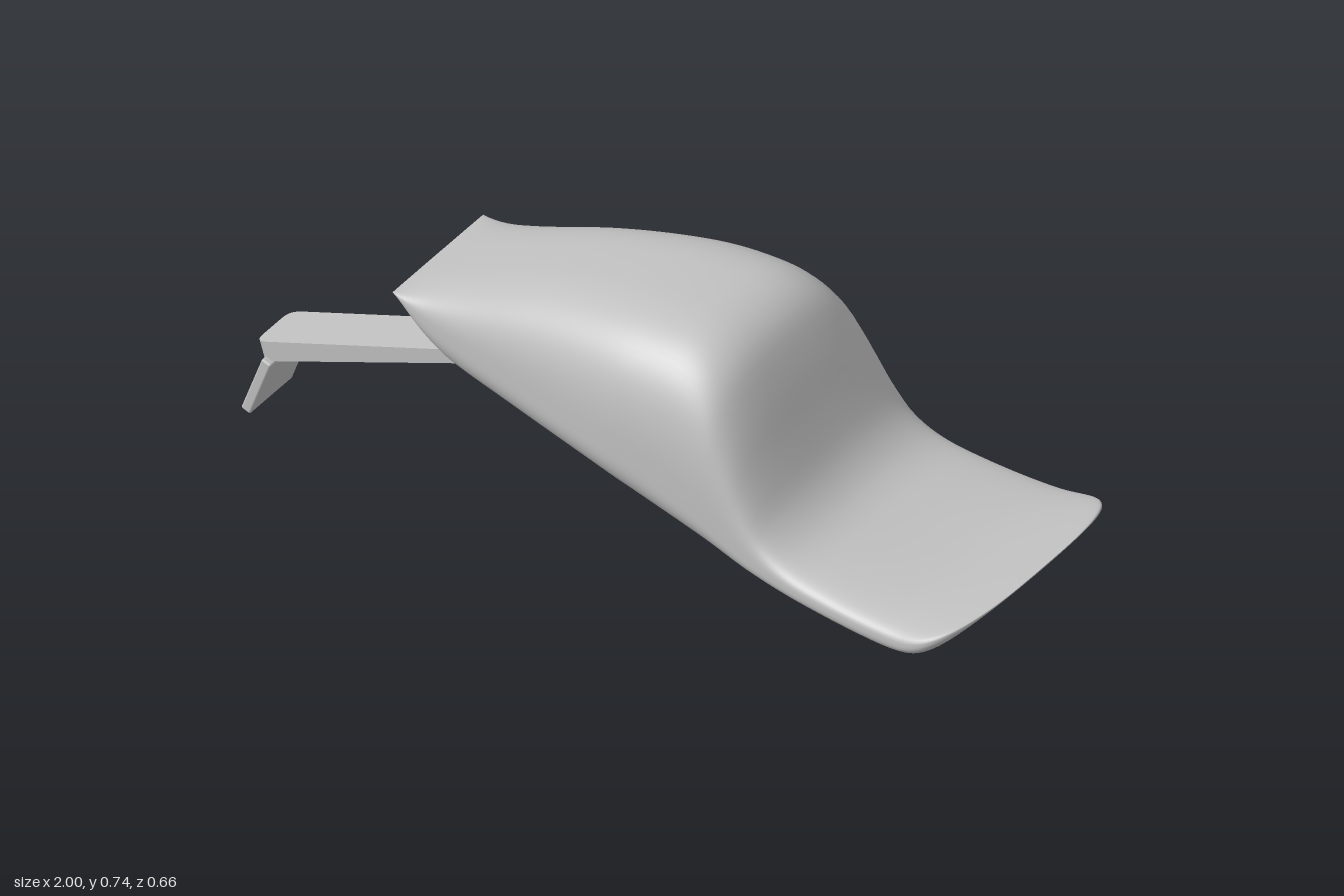
import * as THREE from 'three';
import { RoundedBoxGeometry } from 'three/addons/geometries/RoundedBoxGeometry.js';

const grey = new THREE.MeshStandardMaterial({ color: 0xc0c0c0 });
grey.name = 'plain grey';

// Smooth curve through [x, value] points
function curve(pts) {
  const slope = (i) => {
    const a = pts[Math.max(i - 1, 0)], b = pts[Math.min(i + 1, pts.length - 1)];
    return (b[1] - a[1]) / (b[0] - a[0]);
  };
  return (x) => {
    let i = 0;
    while (i < pts.length - 2 && x > pts[i + 1][0]) i++;
    const [x0, y0] = pts[i], [x1, y1] = pts[i + 1];
    const h = x1 - x0, t = (x - x0) / h, t2 = t * t, t3 = t2 * t;
    return y0 * (2 * t3 - 3 * t2 + 1) + slope(i) * h * (t3 - 2 * t2 + t)
      + y1 * (3 * t2 - 2 * t3) + slope(i + 1) * h * (t3 - t2);
  };
}

// Body profiles along x: ridge, belly, widest line and half width
const top = curve([[-0.55, 0.542], [-0.4, 0.6], [-0.2, 0.675], [0, 0.722], [0.15, 0.738], [0.25, 0.73],
  [0.32, 0.688], [0.37, 0.605], [0.42, 0.495], [0.47, 0.405], [0.54, 0.35], [0.65, 0.326], [0.8, 0.316], [0.9, 0.323], [1, 0.34]]);
const belly = curve([[-0.55, 0.54], [-0.5, 0.46], [-0.45, 0.41], [-0.4, 0.38], [-0.25, 0.35], [0, 0.308],
  [0.2, 0.268], [0.5, 0.228], [0.75, 0.206], [0.83, 0.207], [0.9, 0.232], [1, 0.337]]);
const waist = curve([[-0.55, 0.541], [-0.45, 0.5], [-0.2, 0.465], [0.1, 0.43], [0.3, 0.37], [0.45, 0.31],
  [0.6, 0.28], [0.82, 0.266], [0.9, 0.282], [1, 0.339]]);
const side = curve([[-0.55, 0.172], [-0.2, 0.235], [0, 0.273], [0.1, 0.287], [0.4, 0.305], [0.85, 0.33], [1, 0.335]]);
const halfWidth = (x) => {
  const s = Math.max(0, (x - 0.85) / 0.15);
  return side(x) * Math.cbrt(Math.max(0, 1 - s ** 3));
};

function bodyGeometry() {
  const rows = 120, cols = 80, pos = [], index = [];
  for (let i = 0; i <= rows; i++) {
    // stations crowd together towards the rounded lip
    const u = i / rows;
    const x = u < 0.75 ? -0.55 + 1.4 * u / 0.75 : 0.85 + 0.15 * Math.sin((u - 0.75) * 2 * Math.PI);
    const w = halfWidth(x), mid = waist(x);
    for (let j = 0; j < cols; j++) {
      const a = j / cols * Math.PI * 2, c = Math.cos(a), s = Math.sin(a);
      const p = 2 / (s > 0 ? 3.1 : 2.4);
      const height = s > 0 ? top(x) - mid : mid - belly(x);
      pos.push(x, mid + Math.sign(s) * Math.abs(s) ** p * height, Math.sign(c) * Math.abs(c) ** p * w);
      if (i < rows) {
        const k = (j + 1) % cols, r = i * cols, n = r + cols;
        index.push(r + j, n + j, r + k, n + j, n + k, r + k);
      }
    }
  }
  const g = new THREE.BufferGeometry();
  g.setAttribute('position', new THREE.Float32BufferAttribute(pos, 3));
  g.setIndex(index);
  g.computeVertexNormals();
  return g;
}

// Rounded rectangle shape
function roundedRect(x0, x1, h, r0, r1) {
  const s = new THREE.Shape();
  s.moveTo(x0 + r0, -h);
  s.lineTo(x1 - r1, -h);
  s.quadraticCurveTo(x1, -h, x1, -h + r1);
  s.lineTo(x1, h - r1);
  s.quadraticCurveTo(x1, h, x1 - r1, h);
  s.lineTo(x0 + r0, h);
  s.quadraticCurveTo(x0, h, x0, h - r0);
  s.lineTo(x0, -h + r0);
  s.quadraticCurveTo(x0, -h, x0 + r0, -h);
  return s;
}

// Arm: plan outline raised between two sloping lines, thicker at its outer end
function armGeometry() {
  const g = new THREE.ExtrudeGeometry(roundedRect(-0.96, -0.34, 0.067, 0.03, 0.002), { depth: 1, bevelEnabled: false });
  g.rotateX(-Math.PI / 2);
  const p = g.attributes.position;
  for (let i = 0; i < p.count; i++) {
    const x = p.getX(i), t = p.getY(i);
    const k = (x + 0.96) / 0.62;
    const low = 0.138 + 0.385 * (x + 0.96);
    p.setXYZ(i, x - 0.014 * t, low + t * (0.046 - 0.02 * k), p.getZ(i));
  }
  g.computeVertexNormals();
  return g;
}

export function createModel() {
  const model = new THREE.Group();
  model.name = 'seatCowl';
  const add = (name, geometry, parent = model) => {
    const m = new THREE.Mesh(geometry, grey);
    m.name = name;
    parent.add(m);
    return m;
  };

  add('body', bodyGeometry());

  // Tail lamp under the pointed rear edge
  const lamp = add('tailLamp', new THREE.SphereGeometry(1, 32, 20));
  lamp.scale.set(0.026, 0.04, 0.14);
  lamp.position.set(-0.478, 0.44, 0);
  lamp.rotation.z = 0.6;

  // Hanger arm and its hanging plate
  add('hangerArm', armGeometry());
  const plate = add('hangingPlate', new RoundedBoxGeometry(0.025, 0.157, 0.162, 2, 0.005));
  plate.position.set(-0.9625, 0.078, 0);
  plate.rotation.z = -0.35;

  // Mounting pad with four bolts below the belly
  const mount = new THREE.Group();
  mount.name = 'mount';
  mount.position.set(-0.115, 0.306, 0);
  mount.rotation.z = -0.165;
  model.add(mount);
  const pad = new THREE.ExtrudeGeometry(roundedRect(-0.168, 0.168, 0.108, 0.06, 0.06),
    { depth: 0.034, bevelThickness: 0.006, bevelSize: 0.006, bevelSegments: 2 });
  pad.rotateX(-Math.PI / 2);
  pad.translate(0, -0.01, 0);
  add('mountingPad', pad, mount);
  for (const x of [-0.138, 0.138]) for (const z of [-0.077, 0.077]) {
    const bolt = add('bolt', new THREE.CylinderGeometry(0.014, 0.012, 0.025, 16), mount);
    bolt.position.set(x, -0.022, z);
  }
  return model;
}
